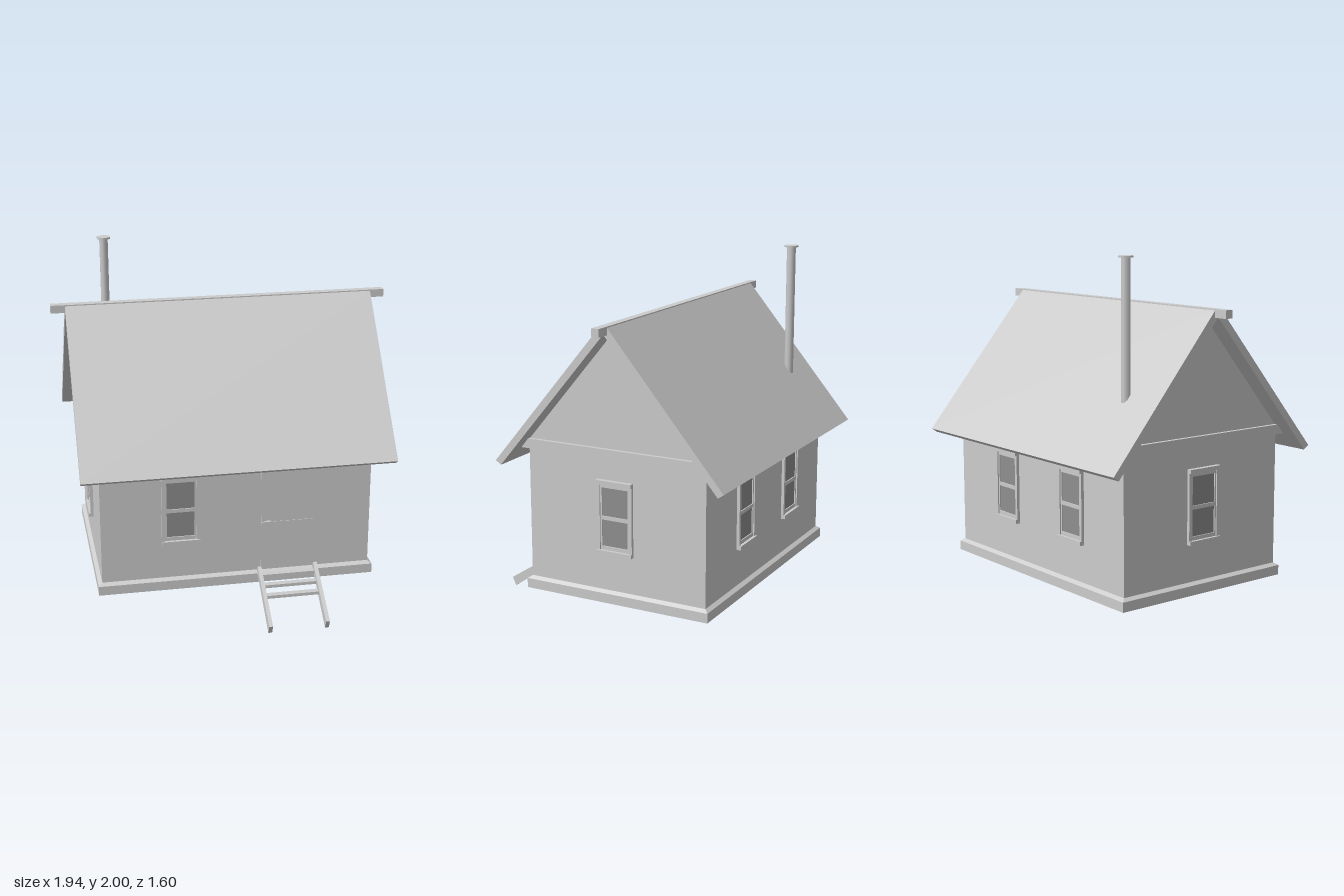
import * as THREE from 'three';

const paint = new THREE.MeshStandardMaterial({ color: 0xcccccc });
paint.name = 'palePaint';
const glass = new THREE.MeshStandardMaterial({ color: 0x8f8f8f });
glass.name = 'greyGlass';

function add(parent, name, geometry, material = paint) {
  const mesh = new THREE.Mesh(geometry, material);
  mesh.name = name;
  parent.add(mesh);
  return mesh;
}

// Box given by its lower and upper limits on each axis
function box(parent, name, [x0, x1], [y0, y1], [z0, z1], material) {
  const mesh = add(parent, name, new THREE.BoxGeometry(x1 - x0, y1 - y0, z1 - z0), material);
  mesh.position.set((x0 + x1) / 2, (y0 + y1) / 2, (z0 + z1) / 2);
  return mesh;
}

// Prism along x from a (z, y) outline
function prism(parent, name, points, width) {
  const shape = new THREE.Shape(points.map(([z, y]) => new THREE.Vector2(z, y)));
  const geometry = new THREE.ExtrudeGeometry(shape, { depth: width, bevelEnabled: false });
  geometry.translate(0, 0, -width / 2).rotateY(-Math.PI / 2);
  return add(parent, name, geometry);
}

// Window lying on the plane z = 0, facing +z
function makeWindow(name) {
  const win = new THREE.Group();
  win.name = name;
  box(win, 'windowPane', [-0.082, 0.082], [0.48, 0.82], [-0.004, 0.004], glass);
  for (const s of [-1, 1]) {
    const side = box(win, 'sideCasing', [-0.0095, 0.0095], [0.46, 0.84], [-0.01, 0.017]);
    side.position.x = s * 0.099;
    const stile = box(win, 'sashStile', [-0.006, 0.006], [0.46, 0.84], [-0.01, 0.01]);
    stile.position.x = s * 0.0855;
  }
  box(win, 'headCasing', [-0.1085, 0.1085], [0.838, 0.86], [-0.01, 0.027]);
  box(win, 'sill', [-0.1085, 0.1085], [0.442, 0.464], [-0.01, 0.027]);
  box(win, 'topRail', [-0.09, 0.09], [0.817, 0.838], [-0.01, 0.01]);
  box(win, 'bottomRail', [-0.09, 0.09], [0.464, 0.485], [-0.01, 0.01]);
  box(win, 'middleRail', [-0.08, 0.08], [0.635, 0.656], [-0.01, 0.01]);
  return win;
}

export function createModel() {
  const model = new THREE.Group();
  model.name = 'cabin';

  // House shell, centred slightly behind the origin
  const house = new THREE.Group();
  house.name = 'house';
  house.position.z = -0.1;
  model.add(house);
  const halfX = 0.778, halfZ = 0.545;

  prism(house, 'walls', [
    [-halfZ, 0.165], [halfZ, 0.165], [halfZ, 1.028], [0, 1.674], [-halfZ, 1.028],
  ], halfX * 2);

  // Skirting with a sloping top edge
  box(house, 'skirting', [-0.8, 0.8], [0.16, 0.215], [-0.567, 0.567]);
  const slope = new THREE.BoxGeometry(1.6, 0.015, 1.134);
  const p = slope.attributes.position;
  for (let i = 0; i < p.count; i++) {
    if (p.getY(i) > 0) {
      p.setX(i, Math.sign(p.getX(i)) * halfX);
      p.setZ(i, Math.sign(p.getZ(i)) * halfZ);
    }
  }
  slope.computeVertexNormals();
  add(house, 'skirtingSlope', slope).position.y = 0.2225;

  // Band across each gable, cut to the roof pitch
  prism(house, 'gableBand', [[-0.584, 0.98], [0.584, 0.98], [0.54, 1.035], [-0.54, 1.035]], 1.6);

  // Roof as a single folded slab, with the ridge beam through its peak
  prism(house, 'roof', [
    [0.664, 0.89], [0.697, 0.913], [0.02, 1.717], [-0.02, 1.717],
    [-0.697, 0.913], [-0.664, 0.89], [0, 1.676],
  ], 1.776);
  box(house, 'ridgeBeam', [-0.97, 0.97], [1.675, 1.72], [-0.023, 0.023]);

  // Windows: one in front, one in each gable wall, two at the back
  const places = [
    ['frontWindow', -0.325, halfZ, 0],
    ['rightGableWindow', halfX, 0, Math.PI / 2],
    ['leftGableWindow', -halfX, 0, -Math.PI / 2],
    ['backWindow', 0.29, -halfZ, Math.PI],
    ['backWindow', -0.325, -halfZ, Math.PI],
  ];
  for (const [name, x, z, turn] of places) {
    const win = makeWindow(name);
    win.position.set(x, 0, z);
    win.rotation.y = turn;
    house.add(win);
  }

  // Door in two leaves, with a head board and handle
  box(house, 'lowerDoor', [0.14, 0.442], [0.23, 0.529], [halfZ - 0.003, halfZ + 0.003]);
  box(house, 'upperDoor', [0.14, 0.442], [0.533, 0.833], [halfZ - 0.003, halfZ + 0.003]);
  box(house, 'doorHead', [0.132, 0.45], [0.833, 0.86], [halfZ - 0.01, halfZ + 0.025]);
  box(house, 'doorHandle', [0.159, 0.196], [0.527, 0.537], [halfZ, halfZ + 0.018]);

  // Stove pipe
  const pipe = add(model, 'stovePipe', new THREE.CylinderGeometry(0.026, 0.026, 0.785, 8));
  pipe.position.set(-0.62, 1.6, -0.505);
  const cap = add(model, 'pipeCap', new THREE.CylinderGeometry(0.041, 0.041, 0.01, 8));
  cap.position.set(-0.62, 1.995, -0.505);
  for (const part of [pipe, cap]) part.rotation.y = Math.PI / 8;

  // Entry steps
  const steps = new THREE.Group();
  steps.name = 'steps';
  model.add(steps);
  for (const x of [0.127, 0.455]) {
    prism(steps, 'stepRail', [[0.452, 0.23], [0.778, 0], [0.8, 0.05], [0.474, 0.262]], 0.022)
      .position.x = x;
  }
  for (let i = 0; i < 3; i++) {
    const top = 0.225 - i * 0.0375, front = 0.512 + i * 0.0575;
    box(steps, 'tread', [0.138, 0.444], [top - 0.018, top], [front - 0.036, front]);
  }
  return model;
}
